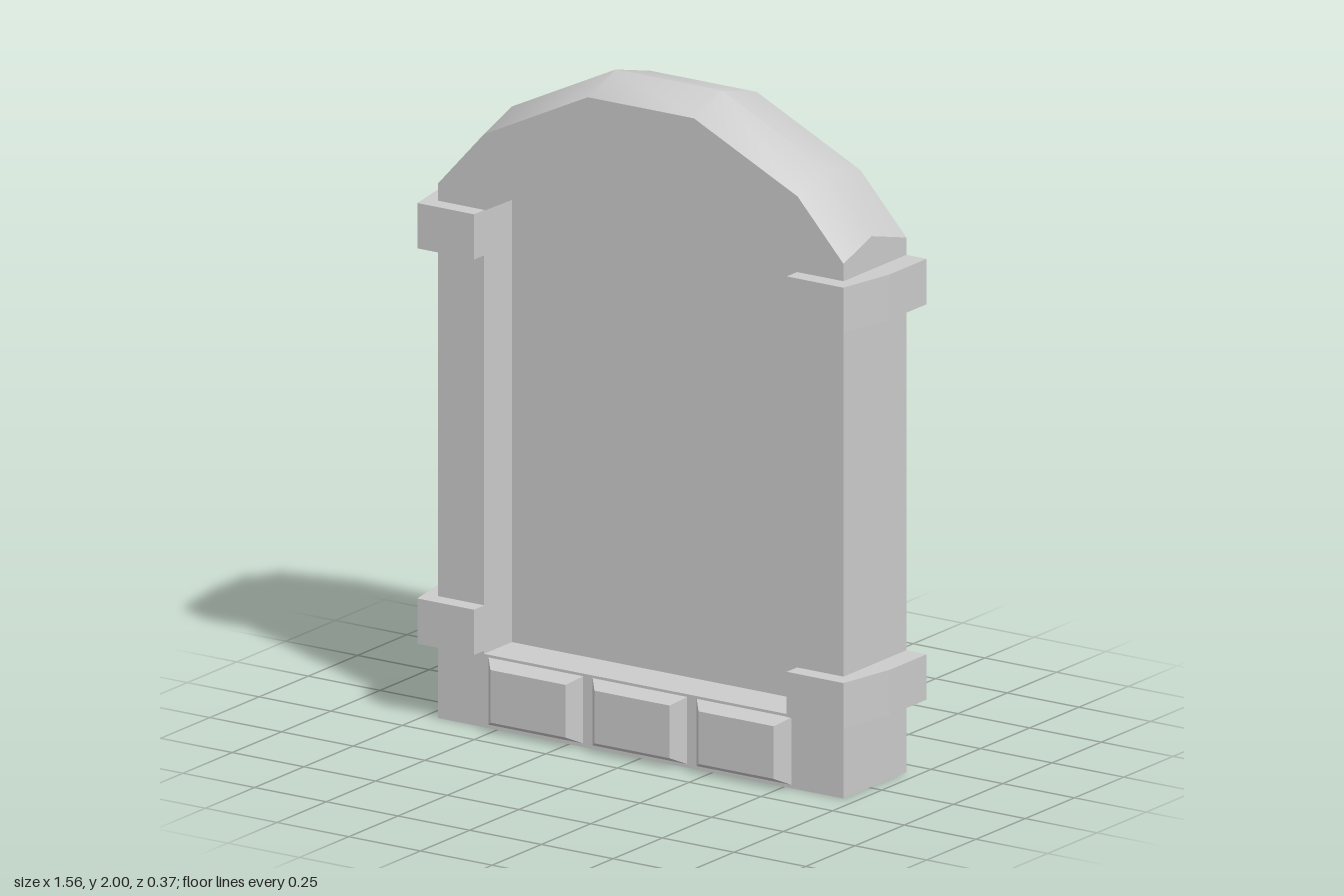
import * as THREE from 'three';
import { mergeGeometries, toCreasedNormals } from 'three/addons/utils/BufferGeometryUtils.js';

const BACK = -0.187, MID = -0.01, FRONT = 0.132;
const material = new THREE.MeshStandardMaterial({ color: 0xcccccc });

// Mirrors the right half of an outline (bottom to top) into a closed outline
function mirrored(half) {
  const pts = half.map(([x, y]) => new THREE.Vector2(x, y));
  return [...pts, ...pts.map(p => new THREE.Vector2(-p.x, p.y)).reverse()];
}

const outline = mirrored([[0.707, 0], [0.707, 1.605], [0.547, 1.78], [0.185, 1.953]]);
const opening = mirrored([[0.547, 0.22], [0.547, 1.55], [0.185, 1.733]]);

function extrude(shape, from, to) {
  const geo = new THREE.ExtrudeGeometry(shape, { depth: to - from, bevelEnabled: false });
  return geo.translate(0, 0, from);
}

// Lifts the outer arch on the middle plane so the top forms a ridge
function raiseRidge(geo) {
  const p = geo.attributes.position;
  for (let i = 0; i < p.count; i++) {
    const x = Math.abs(p.getX(i)), y = p.getY(i);
    const onArch = y > 1.75 || (x > 0.7 && y > 1.57);
    if (onArch && Math.abs(p.getZ(i) - MID) < 0.001) p.setY(i, y + 0.048);
  }
  return geo;
}

// Back slab and front frame, smooth over the arch and sharp elsewhere
function createBody() {
  const frame = new THREE.Shape(outline);
  frame.holes.push(new THREE.Path(opening));
  const slab = raiseRidge(extrude(new THREE.Shape(outline), BACK, MID));
  const front = raiseRidge(extrude(frame, MID, FRONT));
  return toCreasedNormals(mergeGeometries([slab, front]), 0.68);
}

// Bracket wrapping a post's front and outer side; plan drawn as (x, -z)
function createBracket() {
  const plan = [[0.545, 0.185], [0.743, 0.185], [0.778, 0], [0.778, BACK],
    [0.707, BACK], [0.707, FRONT], [0.545, FRONT]];
  const shape = new THREE.Shape(plan.map(([x, z]) => new THREE.Vector2(x, -z)));
  const geo = new THREE.ExtrudeGeometry(shape, { depth: 0.136, bevelEnabled: false });
  return geo.rotateX(-Math.PI / 2);
}

// Raised block whose front face is inset on every side
function createBlock() {
  const w = 0.33, h = 0.202, d = 0.04;
  const geo = new THREE.BoxGeometry(w, h, d).translate(0, 0, d / 2);
  const p = geo.attributes.position;
  for (let i = 0; i < p.count; i++) {
    if (p.getZ(i) < d / 2) continue;
    p.setX(i, p.getX(i) - Math.sign(p.getX(i)) * 0.034);
    p.setY(i, p.getY(i) - Math.sign(p.getY(i)) * 0.022);
  }
  const flat = geo.toNonIndexed();
  flat.computeVertexNormals();
  return flat;
}

export function createModel() {
  const model = new THREE.Group();
  const add = (name, geo, x = 0, y = 0, z = 0) => {
    const mesh = new THREE.Mesh(geo, material);
    mesh.name = name;
    mesh.position.set(x, y, z);
    model.add(mesh);
    return mesh;
  };

  add('archedBody', createBody());

  // Two brackets on each post
  const bracket = createBracket();
  for (const [level, y] of [['lower', 0.23], ['upper', 1.417]]) {
    add(level + 'BracketLeft', bracket, 0, y);
    add(level + 'BracketRight', bracket, 0, y).scale.x = -1;
  }

  // Row of blocks along the base
  const block = createBlock();
  for (let i = -1; i <= 1; i++) add('baseBlock' + (i + 2), block, i * 0.363 - 0.003, 0.111, FRONT);

  return model;
}
